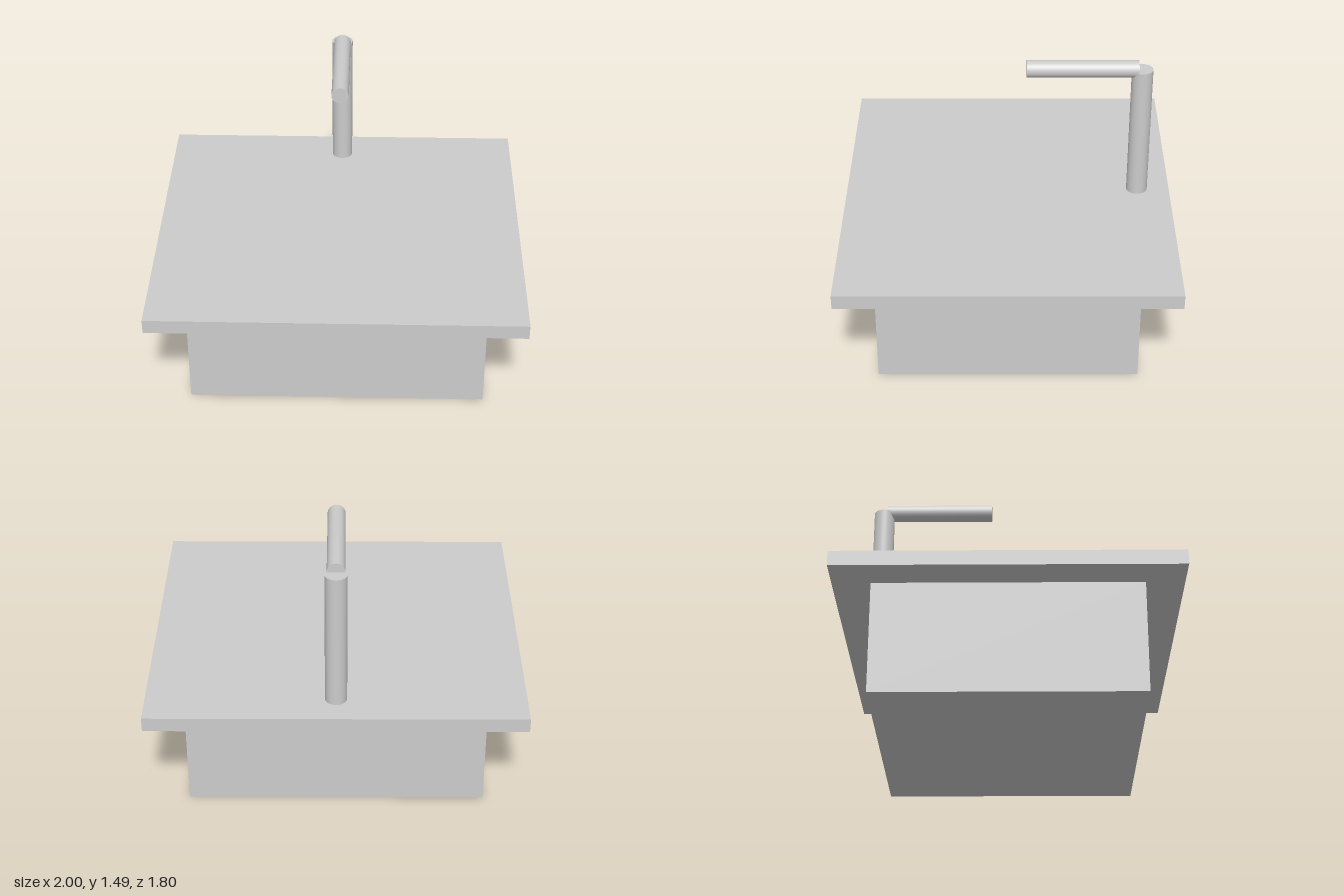
import * as THREE from 'three';

export function createModel() {
  const model = new THREE.Group();
  const material = new THREE.MeshStandardMaterial({ color: 0xcccccc });

  const add = (name, geometry, x, y, z) => {
    const mesh = new THREE.Mesh(geometry, material);
    mesh.name = name;
    mesh.position.set(x, y, z);
    model.add(mesh);
    return mesh;
  };

  // Basin body and overhanging counter slab
  add('basin', new THREE.BoxGeometry(1.6, 0.6, 1.4), 0, 0.3, 0);
  add('countertop', new THREE.BoxGeometry(2, 0.08, 1.8), 0, 0.64, 0);

  // Tap: upright post near the back, spout reaching forward
  add('tapPost', new THREE.CylinderGeometry(0.058, 0.058, 0.76, 32), 0, 1.06, -0.72);
  const spout = add('tapSpout', new THREE.CylinderGeometry(0.047, 0.047, 0.6, 32), 0, 1.443, -0.4);
  spout.rotation.x = Math.PI / 2;

  return model;
}
